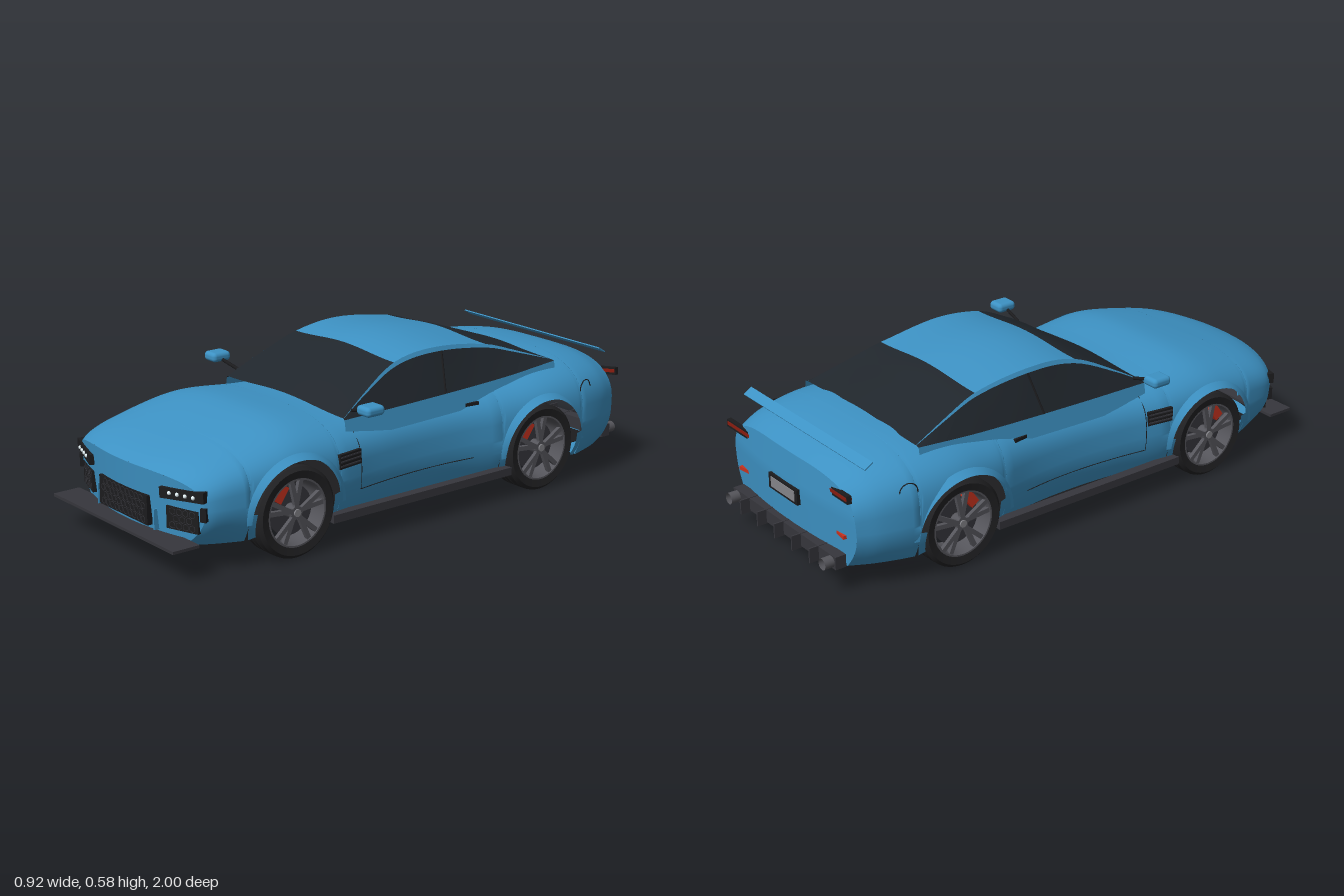
import * as THREE from 'three';
import { toCreasedNormals } from 'three/addons/utils/BufferGeometryUtils.js';
import { RoundedBoxGeometry } from 'three/addons/geometries/RoundedBoxGeometry.js';

const mat = (color, side = THREE.FrontSide) => new THREE.MeshStandardMaterial({ color, side });
const blue = mat(0x3d92c4), blue2 = mat(0x3d92c4, THREE.DoubleSide);
const glass = mat(0x20262c, THREE.DoubleSide), black = mat(0x1c1c1e), dark = mat(0x36363c);
const tyreMat = mat(0x222224), rimMat = mat(0x55555b, THREE.DoubleSide), metal = mat(0x85858a);
const red = mat(0xc8321e), lampRed = mat(0x8a1c10), white = mat(0xe4f2f6);

// Smooth curve through [z, value] rows, z ascending
function curve(rows) {
  const slope = i => {
    const a = rows[Math.max(i - 1, 0)], b = rows[Math.min(i + 1, rows.length - 1)];
    return (b[1] - a[1]) / (b[0] - a[0]);
  };
  return z => {
    let i = 0;
    while (i < rows.length - 2 && z > rows[i + 1][0]) i++;
    const [z0, a] = rows[i], [z1, b] = rows[i + 1], h = z1 - z0;
    const t = Math.min(1, Math.max(0, (z - z0) / h)), t2 = t * t, t3 = t2 * t;
    return a * (2 * t3 - 3 * t2 + 1) + b * (3 * t2 - 2 * t3) + h * (slope(i) * (t3 - 2 * t2 + t) + slope(i + 1) * (t3 - t2));
  };
}

// Grid surface: fn(u, v) -> [x, y, z]; the outer face looks along dv x du
function surface(nu, nv, fn) {
  const pos = [], idx = [];
  for (let i = 0; i <= nu; i++) for (let j = 0; j <= nv; j++) pos.push(...fn(i / nu, j / nv));
  for (let i = 0; i < nu; i++) for (let j = 0; j < nv; j++) {
    const a = i * (nv + 1) + j, b = a + nv + 1;
    idx.push(a, a + 1, b, a + 1, b + 1, b);
  }
  const g = new THREE.BufferGeometry();
  g.setAttribute('position', new THREE.Float32BufferAttribute(pos, 3));
  g.setIndex(idx);
  g.computeVertexNormals();
  return g;
}

// Hull shape: half width, deck height, and rounded sections that tuck in below
const halfW = curve([[-0.95, 0.362], [-0.85, 0.395], [-0.7, 0.422], [-0.55, 0.428], [-0.4, 0.405], [-0.2, 0.366],
  [0, 0.357], [0.2, 0.372], [0.35, 0.396], [0.5, 0.41], [0.6, 0.413], [0.8, 0.39], [0.9, 0.375], [0.96, 0.36]]);
const deckH = curve([[-0.95, 0.395], [-0.85, 0.428], [-0.7, 0.45], [-0.55, 0.45], [-0.4, 0.435], [-0.2, 0.42],
  [0, 0.415], [0.3, 0.415], [0.5, 0.43], [0.6, 0.42], [0.8, 0.376], [0.9, 0.347], [0.96, 0.322]]);
const MID = 0.22, LOW = 0.09, E = 0.62, AXLES = [-0.53, 0.55], HUB = 0.155, ARCH = 0.182;
const sOf = (z, y) => y < MID ? (y - MID) / (MID - LOW)
  : Math.asin(Math.min(1, (y - MID) / (deckH(z) - MID)) ** (1 / E)) / (Math.PI / 2);
function section(z, s) {
  const tuck = 0.08 + 0.17 * Math.max(0, (z - 0.7) / 0.26) + 0.08 * Math.max(0, (-0.7 - z) / 0.25);
  if (s < 0) return [halfW(z) * (1 - tuck * s * s), MID + (MID - LOW) * s];
  const t = s * Math.PI / 2;
  return [halfW(z) * Math.max(0, Math.cos(t)) ** E, MID + (deckH(z) - MID) * Math.sin(t) ** E];
}
const sideX = (z, y) => section(z, sOf(z, y))[0];
// Nose and tail are bowed in plan and lean back below
function bow(x, y, z) {
  const f = Math.max(0, (z - 0.74) / 0.22) ** 2, r = Math.max(0, (-0.72 - z) / 0.23) ** 2, k = (x / 0.36) ** 2;
  return [x, y, z - f * (0.07 * k + 0.1 * (0.32 - y)) + r * (0.03 * k + 0.06 * Math.abs(y - 0.28))];
}
const noseZ = (x, y) => bow(x, y, 0.96)[2], tailZ = (x, y) => bow(x, y, -0.95)[2];

// Cabin shape
const roofH = curve([[-0.65, 0.455], [-0.5, 0.507], [-0.38, 0.545], [-0.14, 0.575], [0.04, 0.553], [0.2, 0.478], [0.3, 0.42]]);
const roofW = curve([[-0.65, 0.315], [-0.38, 0.268], [-0.15, 0.268], [0.04, 0.27], [0.3, 0.325]]);
const belt = curve([[-0.65, 0.437], [-0.4, 0.418], [0, 0.405], [0.3, 0.4]]);

export function createModel() {
  const car = new THREE.Group();
  const add = (name, geo, m, p = [0, 0, 0], r = [0, 0, 0], parent = car) => {
    const o = new THREE.Mesh(geo, m);
    o.name = name;
    o.position.set(...p);
    o.rotation.set(...r);
    parent.add(o);
  };
  const box = (name, size, m, p, r, parent) => add(name, new THREE.BoxGeometry(...size), m, p, r, parent);
  const rod = (name, pts, radius, m) => add(name, new THREE.TubeGeometry(
    new THREE.CatmullRomCurve3(pts.map(p => new THREE.Vector3(...p))), 4 * pts.length, radius, 6), m);

  // Body shell, with stations that follow the wheel arches
  const st = [];
  const run = (a, b, n) => { for (let i = 0; i <= n; i++) st.push([a + (b - a) * i / n, LOW]); };
  const arch = zc => {
    for (let i = 0; i <= 28; i++) {
      const t = Math.PI * i / 28;
      st.push([zc - ARCH * Math.cos(t), HUB + ARCH * Math.sin(t)]);
    }
  };
  run(-0.95, AXLES[0] - ARCH, 10);
  arch(AXLES[0]);
  run(AXLES[0] + ARCH, AXLES[1] - ARCH, 18);
  arch(AXLES[1]);
  run(AXLES[1] + ARCH, 0.96, 12);
  add('bodyShell', surface(st.length - 1, 56, (u, v) => {
    const [z, yb] = st[Math.round(u * (st.length - 1))], w = 2 * v - 1, s0 = sOf(z, yb);
    const [x, y] = section(z, s0 + (1 - s0) * (1 - Math.abs(w)));
    return bow(w < 0 ? x : -x, y, z);
  }), blue);
  for (const [name, z, d] of [['noseFace', 0.96, 1], ['tailFace', -0.95, -1]])
    add(name, surface(32, 20, (u, v) => {
      const [x, y] = section(z, 2 * u - 1);
      return bow(d * x * (2 * v - 1), y, z);
    }), blue);
  // Underside: body-coloured ends and a dark floor, narrower beside the wheels
  for (const [name, z0, z1] of [['noseUnderside', 0.735, 0.96], ['tailUnderside', -0.95, -0.715]])
    add(name, surface(10, 12, (u, v) => {
      const z = z0 + (z1 - z0) * u;
      return bow(section(z, -1)[0] * (2 * v - 1), LOW, z);
    }), blue2);
  box('floor', [0.56, 0.01, 1.78], black, [0, 0.087, -0.03]);
  box('floorMiddle', [0.72, 0.01, 0.72], black, [0, 0.088, 0.01]);

  // Cabin: windscreen, roof and rear window share one curved top
  for (const [name, z0, z1, m] of [['rearWindow', -0.65, -0.38, glass], ['roof', -0.38, 0.04, blue2], ['windscreen', 0.04, 0.3, glass]])
    add(name, surface(20, 12, (u, v) => {
      const z = z0 + (z1 - z0) * v, k = 2 * u - 1;
      return [k * roofW(z), roofH(z) - 0.015 * Math.sin(k * Math.PI / 2) ** 2, z];
    }), m);
  for (const s of [1, -1]) {
    const sidePoint = (z, k) => {
      const b = belt(z), top = Math.max(b + 0.002, roofH(z) - 0.015);
      if (k < 0) return [s * (0.33 - 0.012 * k), b + 0.07 * k, z];
      return [s * (0.33 + (roofW(z) - 0.33) * k), b + (top - b) * k, z];
    };
    for (const [name, k0, k1, m] of [['beltPanel', -1, 0, blue2], ['sideWindow', 0, 0.9, glass], ['roofRail', 0.9, 1, blue2]])
      add(name, surface(32, 3, (u, v) => sidePoint(-0.65 + 0.95 * u, k0 + (k1 - k0) * (s > 0 ? v : 1 - v))), m);
    rod('doorPillar', [0, 0.45, 0.9].map(k => sidePoint(-0.17 + 0.03 * (1 - k), k)), 0.004, black);

    // Mirror
    add('mirror', new RoundedBoxGeometry(0.066, 0.034, 0.075, 4, 0.014), blue, [s * 0.428, 0.453, 0.27]);
    rod('mirrorArm', [[s * 0.32, 0.425, 0.26], [s * 0.4, 0.445, 0.27]], 0.006, black);

    // Sill, vent, door seams, handle and filler cap
    box('sill', [0.035, 0.028, 0.79], dark, [s * 0.388, 0.1, 0.01]);
    const vx = sideX(0.32, 0.29);
    box('sideVent', [0.012, 0.05, 0.1], black, [s * vx, 0.287, 0.325], [0, s * 0.14, 0]);
    for (let i = 0; i < 3; i++)
      box('ventSlat', [0.012, 0.005, 0.095], dark, [s * (vx + 0.003), 0.272 + i * 0.015, 0.325], [0, s * 0.14, 0]);
    rod('doorFrontSeam', [0.17, 0.22, 0.27, 0.32, 0.36].map(y => [s * sideX(0.27, y), y, 0.27]), 0.0015, black);
    rod('doorLowerSeam', [0.27, 0.15, 0, -0.12, -0.24].map(z => [s * sideX(z, 0.17), 0.17, z]), 0.0015, black);
    box('doorHandle', [0.014, 0.011, 0.055], black, [s * sideX(-0.25, 0.355), 0.355, -0.25], [0, -s * 0.15, 0]);
    add('fillerCap', new THREE.TorusGeometry(0.031, 0.002, 6, 28), black,
      [s * (sideX(-0.74, 0.335) - 0.002), 0.335, -0.74], [0, Math.PI / 2 + s * 0.22, 0]);

    // Headlight with four lamps, lower intake and corner marker
    const lamp = new THREE.Group();
    lamp.name = 'headlight';
    lamp.position.set(s * 0.283, 0.264, noseZ(0.283, 0.264) - 0.003);
    lamp.rotation.y = s * 0.33;
    car.add(lamp);
    box('lampHousing', [0.172, 0.036, 0.024], black, [0, 0, 0], [0, 0, s * 0.05], lamp);
    for (let i = 0; i < 4; i++)
      add('lampLens', new THREE.SphereGeometry(0.007, 12, 8), white, [(i - 1.5) * 0.031, 0, 0.012], [0, 0, 0], lamp);
    honeycomb('lowerIntake', 0.125, 0.075, [s * 0.274, 0.178, noseZ(0.274, 0.178) - 0.004], s * 0.33);
    box('cornerMarker', [0.02, 0.045, 0.04], black, [s * 0.352, 0.21, 0.872], [0, s * 0.5, 0]);
    box('noseFin', [0.004, 0.07, 0.03], blue, [s * 0.165, 0.155, noseZ(0.165, 0.155)]);

    // Tail lamp, reflector and exhaust
    box('tailLamp', [0.16, 0.027, 0.016], black, [s * 0.283, 0.345, tailZ(0.283, 0.345)], [0, s * 0.13, s * 0.12]);
    box('tailLampStrip', [0.145, 0.012, 0.021], lampRed, [s * 0.286, 0.347, tailZ(0.283, 0.345)], [0, s * 0.13, s * 0.12]);
    box('rearReflector', [0.05, 0.012, 0.012], red, [s * 0.29, 0.2, tailZ(0.29, 0.2)], [0, s * 0.13, 0]);
    add('exhaust', new THREE.CylinderGeometry(0.02, 0.02, 0.07, 20, 1, true), rimMat, [s * 0.285, 0.115, -0.965], [Math.PI / 2, 0, 0]);

    // Wheels, brakes, arch flares and the body beside the tyre
    AXLES.forEach((z, i) => {
      const w = wheel();
      w.position.set(s * 0.352, HUB, z);
      if (s < 0) w.rotation.y = Math.PI;
      car.add(w);
      box('brakeCaliper', [0.03, 0.06, 0.034], red, [s * 0.367, HUB + 0.068, z + 0.048], [-0.6, 0, 0]);
      const x0 = i ? 0.4 : 0.41;
      add('archFlare', surface(36, 4, (u, v) => {
        const t = Math.PI * u, r = ARCH + 0.018 * v * v;
        const x = x0 + (0.005 + 0.022 * Math.sin(t)) * (1 - v * v);
        return [s * x, HUB + r * Math.sin(t), z + r * Math.cos(t)];
      }), blue2);
      for (const d of [1, -1])
        add('archFoot', surface(10, 2, (u, v) => {
          const t = -0.36 + 0.54 * u, r = 0.158 + (ARCH - 0.158) * v;
          const y = HUB + r * Math.sin(t), zz = z + d * r * Math.cos(t);
          return [s * sideX(zz, y), y, zz];
        }), blue2);
    });
  }

  // Dark panel with a hexagon mesh
  function honeycomb(name, w, h, p, turn) {
    const g = new THREE.Group();
    g.name = name;
    g.position.set(...p);
    g.rotation.y = turn;
    car.add(g);
    box(name + 'Panel', [w, h, 0.02], black, [0, 0, 0], [0, 0, 0], g);
    const cell = new THREE.TorusGeometry(0.0115, 0.0012, 4, 6), rows = Math.floor(h / 0.023);
    for (let r = 0; r < rows; r++) {
      const n = Math.floor(w / 0.026) - (r % 2);
      for (let c = 0; c < n; c++)
        add('meshCell', cell, dark, [(c - (n - 1) / 2) * 0.026, (r - (rows - 1) / 2) * 0.023, 0.01], [0, 0, Math.PI / 6], g);
    }
  }
  honeycomb('grille', 0.28, 0.1, [0, 0.18, noseZ(0, 0.18) - 0.004], 0);

  // Splitter, diffuser, plate and spoiler
  box('splitter', [0.71, 0.01, 0.1], dark, [0, 0.11, 0.95]);
  box('diffuser', [0.62, 0.045, 0.04], dark, [0, 0.115, -0.945]);
  for (const x of [-0.21, -0.105, 0, 0.105, 0.21]) box('diffuserFin', [0.006, 0.052, 0.085], dark, [x, 0.113, -0.957]);
  box('plateRecess', [0.17, 0.055, 0.02], black, [0, 0.255, tailZ(0, 0.255)]);
  box('plate', [0.14, 0.037, 0.024], metal, [0, 0.255, tailZ(0, 0.255)]);
  box('spoiler', [0.72, 0.004, 0.036], blue, [0, 0.447, -0.86], [-0.55, 0, 0]);
  return car;

  // Wheel with its outer side along +x
  function wheel() {
    const g = new THREE.Group();
    g.name = 'wheel';
    const lathe = pts => toCreasedNormals(new THREE.LatheGeometry(pts.map(p => new THREE.Vector2(...p)), 48), 0.6);
    const tip = [0, 0, -Math.PI / 2];
    add('tyre', lathe([[0.116, -0.05], [0.142, -0.054], [0.154, -0.042], [0.155, -0.018], [0.149, -0.016], [0.149, -0.011], [0.155, -0.009],
      [0.155, 0.009], [0.149, 0.011], [0.149, 0.016], [0.155, 0.018], [0.154, 0.042], [0.142, 0.054], [0.116, 0.05]]), tyreMat, [0, 0, 0], tip, g);
    add('rimBarrel', lathe([[0.105, -0.048], [0.105, 0.035], [0.11, 0.05], [0.117, 0.05]]), rimMat, [0, 0, 0], tip, g);
    add('brakeDisc', new THREE.CylinderGeometry(0.086, 0.086, 0.01, 36), dark, [0.005, 0, 0], tip, g);
    add('hub', new THREE.CylinderGeometry(0.022, 0.026, 0.05, 20), rimMat, [0.022, 0, 0], tip, g);
    add('hubCap', new THREE.CylinderGeometry(0.013, 0.013, 0.006, 16), metal, [0.049, 0, 0], tip, g);
    for (let i = 0; i < 5; i++) for (const k of [-1, 1]) {
      const arm = new THREE.Group();
      arm.name = 'spoke';
      arm.rotation.x = i * Math.PI * 0.4 + k * 0.13;
      g.add(arm);
      box('spokeBar', [0.014, 0.094, 0.016], rimMat, [0.04, 0.062, 0], [k * 0.09, 0, 0], arm);
    }
    return g;
  }
}
